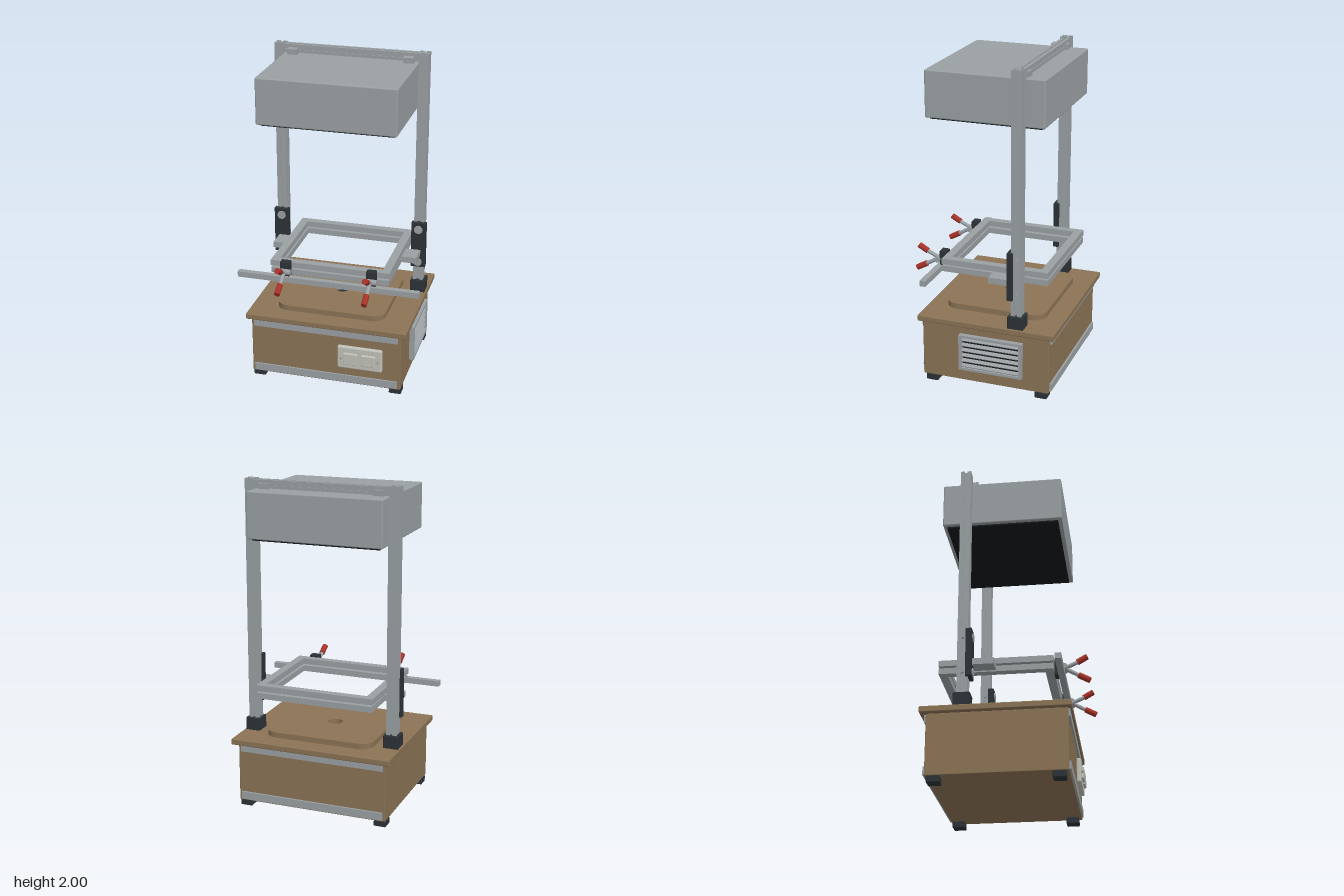
import * as THREE from 'three';
import { RoundedBoxGeometry } from 'three/addons/geometries/RoundedBoxGeometry.js';

const mat = (color) => new THREE.MeshStandardMaterial({ color });

export function createModel() {
  const root = new THREE.Group();
  const wood = mat(0x8b7355), metal = mat(0x9aa0a3), dark = mat(0x2b3236);
  const black = mat(0x15181a), red = mat(0xa83228), ivory = mat(0xc0c2b8);

  const add = (name, geo, material, parent = root) => {
    const m = new THREE.Mesh(geo, material);
    m.name = name;
    parent.add(m);
    return m;
  };
  // Box given by its min and max on each axis, with optional rounded edges
  const box = (name, material, [x0, x1], [y0, y1], [z0, z1], r = 0, parent = root) => {
    const s = [x1 - x0, y1 - y0, z1 - z0];
    const geo = r ? new RoundedBoxGeometry(...s, 2, r) : new THREE.BoxGeometry(...s);
    const m = add(name, geo, material, parent);
    m.position.set((x0 + x1) / 2, (y0 + y1) / 2, (z0 + z1) / 2);
    return m;
  };
  // Cylinder between two points
  const rod = (name, material, a, b, r, parent = root) => {
    const A = new THREE.Vector3(...a), B = new THREE.Vector3(...b);
    const m = add(name, new THREE.CylinderGeometry(r, r, A.distanceTo(B), 20), material, parent);
    m.position.copy(A).add(B).multiplyScalar(0.5);
    m.quaternion.setFromUnitVectors(new THREE.Vector3(0, 1, 0), B.sub(A).normalize());
    return m;
  };
  // Rectangle outline with rounded corners
  const rect = (w, h, r = 0, T = THREE.Shape) => {
    const s = new T(), x = w / 2, y = h / 2;
    if (!r) return s.moveTo(-x, -y).lineTo(x, -y).lineTo(x, y).lineTo(-x, y).closePath();
    s.absarc(x - r, y - r, r, 0, Math.PI / 2);
    s.absarc(r - x, y - r, r, Math.PI / 2, Math.PI);
    s.absarc(r - x, r - y, r, Math.PI, Math.PI * 1.5);
    s.absarc(x - r, r - y, r, Math.PI * 1.5, Math.PI * 2);
    return s;
  };
  const extrude = (shape, depth) =>
    new THREE.ExtrudeGeometry(shape, { depth, bevelEnabled: false, curveSegments: 10 });
  // Slotted aluminium profile: one side's outline turned four times
  const slotted = (w, depth) => {
    const h = w / 2, m = w * 0.13, t = w * 0.24, d1 = w * 0.09, d2 = w * 0.24;
    const side = [[h, h], [m, h], [m, h - d1], [t, h - d1], [t, h - d2],
      [-t, h - d2], [-t, h - d1], [-m, h - d1], [-m, h]];
    const pts = [];
    for (let i = 0; i < 4; i++) {
      for (const [x, y] of side) {
        pts.push(new THREE.Vector2(x, y).rotateAround(new THREE.Vector2(), i * Math.PI / 2));
      }
    }
    return extrude(new THREE.Shape(pts), depth);
  };

  // Cabinet, lid and raised panel with a round hole
  box('cabinet', wood, [-0.473, 0.471], [0.04, 0.406], [-0.447, 0.357], 0.004);
  box('lid', wood, [-0.505, 0.505], [0.405, 0.442], [-0.483, 0.378], 0.006);
  const panel = rect(0.685, 0.635, 0.08);
  panel.holes.push(new THREE.Path().absarc(0, 0, 0.045, 0, Math.PI * 2, true));
  const top = add('raisedPanel', extrude(panel, 0.035), wood);
  top.rotation.x = -Math.PI / 2;
  top.position.set(-0.004, 0.441, -0.048);
  const well = add('panelHole', new THREE.CircleGeometry(0.045, 24), dark);
  well.rotation.x = -Math.PI / 2;
  well.position.set(-0.004, 0.444, -0.048);

  // Feet and trim strips
  for (const x of [-0.436, 0.434]) {
    for (const z of [0.303, -0.398]) {
      box('foot', dark, [x - 0.038, x + 0.038], [0, 0.041], [z - 0.038, z + 0.038], 0.006);
    }
  }
  for (const y of [[0.05, 0.097], [0.36, 0.405]]) {
    box('frontTrim', metal, [-0.457, 0.453], y, [0.355, 0.367]);
    box('backTrim', metal, [-0.457, 0.453], y, [-0.459, -0.445]);
  }

  // Switch plate on the front
  const plate = new THREE.Group();
  plate.name = 'switchPlate';
  root.add(plate);
  box('plate', ivory, [0.08, 0.36], [0.155, 0.305], [0.355, 0.383], 0.01, plate);
  for (const x of [0.164, 0.277]) {
    box('rocker', ivory, [x - 0.045, x + 0.045], [0.19, 0.266], [0.375, 0.397], 0.006, plate);
  }
  for (const x of [0.106, 0.337]) {
    rod('plateScrew', metal, [x, 0.228, 0.375], [x, 0.228, 0.396], 0.007, plate);
  }

  // Louvred vent on the left side
  const vent = new THREE.Group();
  vent.name = 'vent';
  vent.position.set(0.47, 0.235, -0.085);
  root.add(vent);
  const ring = rect(0.4, 0.23);
  ring.holes.push(rect(0.364, 0.2, 0, THREE.Path));
  add('ventFrame', extrude(ring, 0.032), metal, vent).rotation.y = Math.PI / 2;
  box('ventBack', black, [0, 0.006], [-0.1, 0.1], [-0.182, 0.182], 0, vent);
  for (let i = 0; i < 6; i++) {
    const y = -0.088 + i * 0.0345;
    const slat = box('louvre', metal, [0.004, 0.028], [y - 0.003, y + 0.003], [-0.182, 0.182], 0, vent);
    slat.rotation.z = -0.5;
  }

  // Columns, their sockets, carriages and arms, mirrored
  for (const s of [-1, 1]) {
    const span = (a, b) => (s > 0 ? [a, b] : [-b, -a]);
    const cx = s * 0.447;
    const post = add('column', slotted(0.064, 1.558), metal);
    post.rotation.x = -Math.PI / 2;
    post.position.set(cx, 0.442, -0.243);
    box('columnSocket', dark, span(0.402, 0.495), [0.44, 0.52], [-0.292, -0.194], 0.004);
    box('carriagePlate', dark, span(0.402, 0.495), [0.62, 0.92], [-0.225, -0.189], 0.004);
    for (const y of [0.875, 0.655]) {
      rod('carriageKnob', metal, [cx, y, -0.2], [cx, y, -0.184], 0.027);
      rod('carriageBolt', metal, [s * 0.42, y, -0.247], [s * 0.482, y, -0.247], 0.01);
    }
    box('arm', metal, span(0.355, 0.464), [0.7, 0.738], [-0.19, -0.065]);
    box('lampBracket', metal, span(0.328, 0.39), [1.935, 1.975], [-0.285, -0.18]);

    // Toggle clamp with two red grips
    const clamp = new THREE.Group();
    clamp.name = 'clamp';
    clamp.position.x = s * 0.268;
    root.add(clamp);
    box('clampBlock', dark, [-0.03, 0.03], [0.68, 0.79], [0.268, 0.313], 0.004, clamp);
    rod('clampPin', metal, [-0.04, 0.733, 0.325], [0.04, 0.733, 0.325], 0.018, clamp);
    for (const [y1, z1, y2, z2] of [[0.767, 0.4, 0.8, 0.458], [0.685, 0.408, 0.65, 0.472]]) {
      rod('clampLever', metal, [0, 0.733, 0.325], [0, y1, z1], 0.012, clamp);
      rod('clampGrip', red, [0, y1, z1], [0, y2, z2], 0.0178, clamp);
    }
  }

  // Crossbar between the columns
  const bar = add('crossbar', slotted(0.05, 0.84), metal);
  bar.rotation.y = Math.PI / 2;
  bar.position.set(-0.42, 1.97, -0.246);

  // Lamp housing with its dark underside
  box('lampHousing', metal, [-0.42, 0.418], [1.66, 1.942], [-0.391, 0.337], 0.008);
  box('lampUnderside', black, [-0.397, 0.395], [1.65, 1.665], [-0.367, 0.313]);

  // Work frame in two layers, and the long front rail
  for (const [y, w] of [[0.739, 0.744], [0.692, 0.736]]) {
    const f = rect(w, 0.67);
    f.holes.push(rect(w - 0.1, 0.57, 0, THREE.Path));
    const layer = add('workFrame', extrude(f, 0.036), metal);
    layer.rotation.x = -Math.PI / 2;
    layer.position.set(0, y, -0.066);
  }
  box('frontRail', metal, [-0.565, 0.565], [0.665, 0.7], [0.294, 0.331]);

  return root;
}
